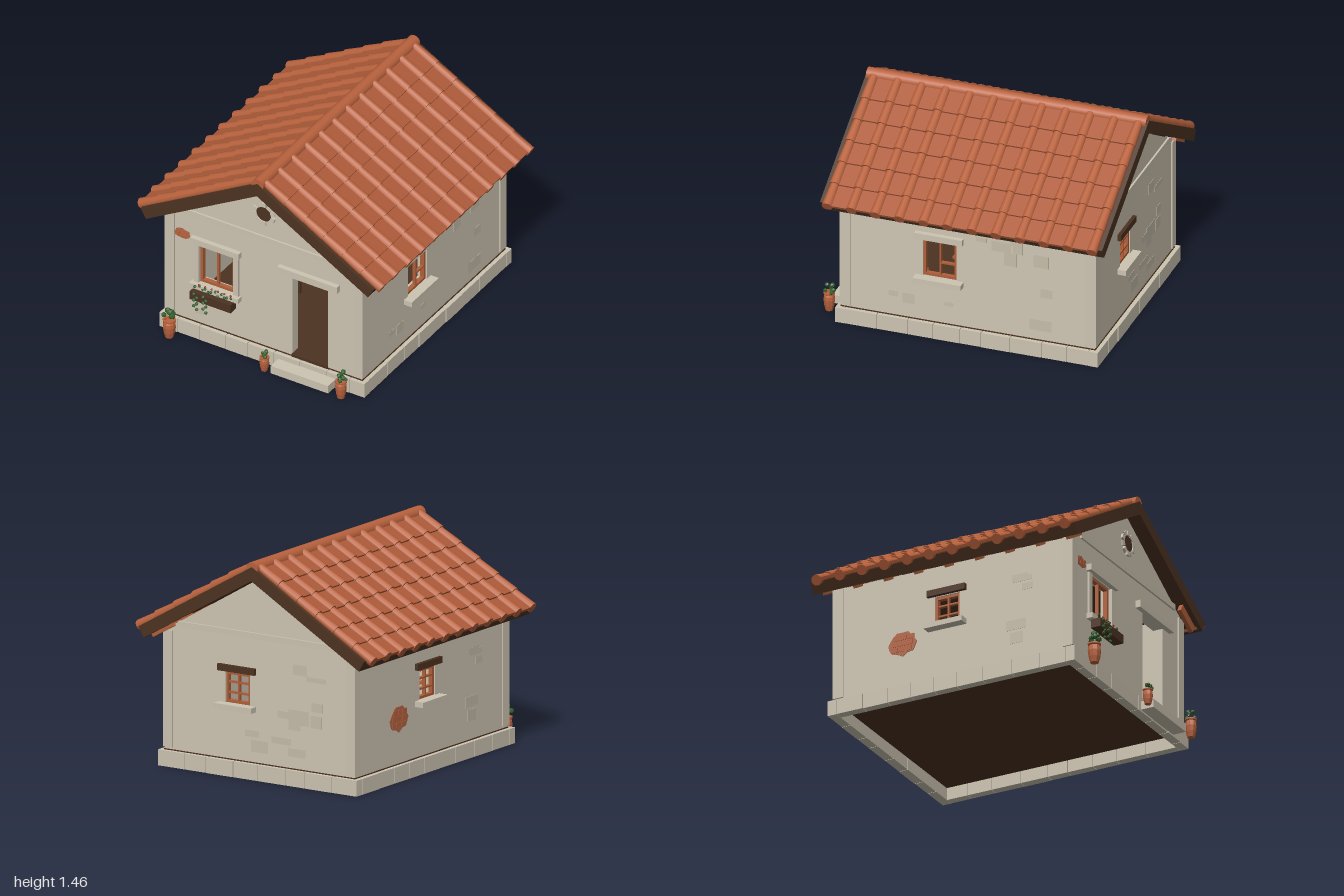
import * as THREE from 'three';

const mat = (name, color) => Object.assign(new THREE.MeshStandardMaterial({ color }), { name });
const M = {
  wall: mat('wall plaster', 0xcfc6b3), stone: mat('cut stone', 0xcdc5b2),
  shade: mat('weathered plaster', 0xc6bdaa), tile: mat('terracotta', 0xb9623d),
  pan: mat('flat roof tile', 0xae5c3a), dark: mat('dark timber', 0x4d3322),
  frame: mat('window wood', 0xb0603a), brick: mat('bare brick', 0xb0684a),
  leaf: mat('leaf', 0x35602f), bloom: mat('blossom', 0xa8322a),
};
let seed = 7;
const rnd = () => (seed = (seed * 16807) % 2147483647) / 2147483647;

function add(parent, name, geo, m, x = 0, y = 0, z = 0) {
  const mesh = new THREE.Mesh(geo, m);
  mesh.name = name;
  mesh.position.set(x, y, z);
  parent.add(mesh);
  return mesh;
}
// box given by its lower and upper bounds
const span = (p, name, m, x0, x1, y0, y1, z0, z1) =>
  add(p, name, new THREE.BoxGeometry(x1 - x0, y1 - y0, z1 - z0), m, (x0 + x1) / 2, (y0 + y1) / 2, (z0 + z1) / 2);
function group(parent, name, x = 0, y = 0, z = 0, ry = 0) {
  const g = new THREE.Group();
  g.name = name;
  g.position.set(x, y, z);
  g.rotation.y = ry;
  parent.add(g);
  return g;
}
const shapeOf = pts => new THREE.Shape(pts.map(p => new THREE.Vector2(p[0], p[1])));
const extrude = (shape, depth) => new THREE.ExtrudeGeometry(shape, { depth, bevelEnabled: false });
function hole(shape, x0, x1, y0, y1) {
  shape.holes.push(new THREE.Path([[x0, y0], [x0, y1], [x1, y1], [x1, y0]].map(p => new THREE.Vector2(...p))));
  return shape;
}

const SLOPE = Math.PI / 6, RIDGE = 1.385, ROOF_Z = -0.0325;

// inverted V across the ridge, from slope height lo to hi
function chevron(lo, hi, len) {
  const c = Math.cos(SLOPE), s = Math.sin(SLOPE);
  const pt = (h, side) => [side * (len * c + h * s), RIDGE - len * s + h * c];
  return shapeOf([[0, RIDGE + lo / c], pt(lo, 1), pt(hi, 1), [0, RIDGE + hi / c], pt(hi, -1), pt(lo, -1)]);
}

// window facing +z, origin at the centre of the opening on the wall face
function windowUnit(parent, name, x, y, z, ry, w, h, o) {
  const g = group(parent, name, x, y, z, ry), t = 0.018, a = w / 2, b = h / 2;
  for (const s of [-1, 1]) {
    span(g, 'frameSide', M.frame, s * (a - t / 2) - t / 2, s * (a - t / 2) + t / 2, -b, b, -0.04, -0.01);
    span(g, 'frameRail', M.frame, -a, a, s * (b - t / 2) - t / 2, s * (b - t / 2) + t / 2, -0.04, -0.01);
    if (o.jamb) span(g, 'jamb', M.stone, s * (a + 0.02) - 0.02, s * (a + 0.02) + 0.02, -b, b, -0.02, 0.015);
  }
  span(g, 'mullion', M.frame, -0.006, 0.006, -b, b, -0.035, -0.012);
  for (const k of o.bars) span(g, 'glazingBar', M.frame, o.barFrom ?? -a, a, k - 0.006, k + 0.006, -0.035, -0.012);
  span(g, 'lintel', o.lintel, -a - o.ext, a + o.ext, b + 0.005, b + 0.048, -0.02, o.lintelOut);
  span(g, 'sill', M.stone, -a - o.ext, a + o.ext, -b - 0.036, -b, -0.03, o.sillOut);
}

function plant(parent, x, y, z, r) {
  for (let i = 0; i < 9; i++) {
    const leaf = add(parent, 'leaves', new THREE.IcosahedronGeometry(r * (0.38 + rnd() * 0.2), 0), M.leaf,
      x + (rnd() - 0.5) * r * 1.5, y + rnd() * r * 1.7, z + (rnd() - 0.5) * r * 1.5);
    leaf.rotation.set(rnd() * 3, rnd() * 3, 0);
  }
}
function jar(parent, name, x, y, z, r, h) {
  const prof = [[0, 0], [0.62, 0], [0.85, 0.3], [0.97, 0.6], [0.9, 0.8], [0.78, 0.88], [0.98, 0.92], [0.98, 1], [0.7, 1], [0.6, 0.88], [0, 0.88]];
  const geo = new THREE.LatheGeometry(prof.map(p => new THREE.Vector2(p[0] * r, p[1] * h)), 10).toNonIndexed();
  geo.computeVertexNormals();
  add(parent, name, geo, M.tile, x, y, z);
}

// blunt irregular patch of exposed brick in the local xy plane
function brickPatch(parent, x, y, z, ry, rx, ryy) {
  const pts = [];
  for (let i = 0; i < 16; i++) {
    const a = i / 16 * Math.PI * 2, k = 0.8 + rnd() * 0.25;
    pts.push([Math.cos(a) * rx * k, Math.sin(a) * ryy * k]);
  }
  const g = group(parent, 'brickPatch', x, y, z, ry);
  add(g, 'bareBrick', extrude(shapeOf(pts), 0.005), M.brick);
  for (let r = -1; r <= 1; r++) for (let c = -1; c <= 1; c++)
    add(g, 'brick', new THREE.BoxGeometry(rx * 0.42, ryy * 0.36, 0.008), M.tile, c * rx * 0.48 + r * 0.008, r * ryy * 0.45, 0.004);
}

function buildWalls(house) {
  const g = group(house, 'walls');
  // front with doorway notch and window, back with window
  const front = hole(shapeOf([[-0.74, 0.1], [0.21, 0.1], [0.21, 0.74], [0.48, 0.74], [0.48, 0.1], [0.74, 0.1], [0.74, 0.9], [0, 1.335], [-0.74, 0.9]]), -0.49, -0.23, 0.43, 0.73);
  add(g, 'frontWall', extrude(front, 0.07), M.wall, 0, 0, 0.77);
  const back = hole(shapeOf([[-0.74, 0.1], [0.74, 0.1], [0.74, 0.9], [0, 1.335], [-0.74, 0.9]]), 0.08, 0.27, 0.48, 0.685);
  add(g, 'backWall', extrude(back, 0.07), M.wall, 0, 0, -0.9);
  const sides = [[0.74, 0.05, 0.28, 0.435, 0.705], [-0.67, -0.165, 0.015, 0.485, 0.685]];
  for (const [x, ...h] of sides) {
    const s = hole(shapeOf([[-0.9, 0.1], [0.84, 0.1], [0.84, 0.9], [-0.9, 0.9]]), ...h);
    add(g, 'sideWall', extrude(s, 0.07), M.wall, x).rotation.y = -Math.PI / 2;
  }
  // corner piers and gable bands
  for (const s of [-1, 1]) for (const [z0, z1] of [[0.775, 0.85], [-0.91, -0.835]])
    span(g, 'cornerPier', M.stone, s * 0.715 - 0.035, s * 0.715 + 0.035, 0.125, 0.9, z0, z1);
  span(g, 'gableBand', M.stone, -0.63, 0.63, 0.93, 0.97, 0.83, 0.853);
  span(g, 'gableBand', M.stone, -0.63, 0.63, 0.93, 0.97, -0.913, -0.89);

  // faint weathered plaster plates, kept clear of the openings
  const faces = [[0.84, 0, 0, [-0.6, 0.64, 0.36, 0.84]], [0.9, Math.PI, 0, [-0.36, 0.02, 0.4, 0.78]],
    [0.74, Math.PI / 2, 0, [-0.36, 0.03, 0.36, 0.8]], [0.74, -Math.PI / 2, 0, [-0.6, 0.2, 0.3, 0.78]]];
  for (const [d, ry, , b] of faces) {
    const f = group(g, 'plasterWear', 0, 0, 0, ry);
    for (let i = 0; i < 16; i++) {
      const w = 0.06 + rnd() * 0.1, h = 0.03 + rnd() * 0.07, x = (rnd() - 0.5) * 1.15, y = 0.2 + rnd() * 0.6;
      if (x + w > b[0] && x - w < b[1] && y + h > b[2] && y - h < b[3]) continue;
      add(f, 'wornPlaster', new THREE.BoxGeometry(w, h, 0.004), M.shade, x, y, d);
    }
  }
  brickPatch(g, -0.62, 0.765, 0.84, 0, 0.065, 0.038);
  brickPatch(g, -0.74, 0.41, -0.4, -Math.PI / 2, 0.11, 0.09);

  // round vent with a ring of stones
  const vent = group(g, 'gableVent', 0, 1.145, 0.84);
  add(vent, 'ventDisc', new THREE.CylinderGeometry(0.055, 0.055, 0.008, 24), M.dark, 0, 0, 0.004).rotation.x = Math.PI / 2;
  for (let i = 0; i < 10; i++) {
    const a = i / 10 * Math.PI * 2 + 0.3;
    add(vent, 'ventStone', new THREE.BoxGeometry(0.03, 0.034, 0.03), M.stone, Math.cos(a) * 0.07, Math.sin(a) * 0.07, 0).rotation.z = a;
  }
}

function buildBase(house) {
  const g = group(house, 'base');
  span(g, 'floor', M.dark, -0.745, 0.745, 0.085, 0.112, -0.905, 0.845);
  // rows of plinth stones of uneven length
  const row = (from, to, put) => {
    for (let a = from; a < to - 0.01;) {
      let b = a + 0.14 + rnd() * 0.08;
      if (to - b < 0.1) b = to;
      put(a + 0.002, b - 0.002, rnd() * 0.006);
      a = b;
    }
  };
  row(-0.777, 0.777, (a, b, j) => span(g, 'plinthStone', M.stone, a, b, 0, 0.105, 0.81, 0.87 + j));
  row(-0.777, 0.777, (a, b, j) => span(g, 'plinthStone', M.stone, a, b, 0, 0.105, -0.93 - j, -0.87));
  row(-0.87, 0.81, (a, b, j) => span(g, 'plinthStone', M.stone, 0.715, 0.771 + j, 0, 0.105, a, b));
  row(-0.87, 0.81, (a, b, j) => span(g, 'plinthStone', M.stone, -0.771 - j, -0.715, 0, 0.105, a, b));
  span(g, 'doorStep', M.stone, 0.125, 0.56, 0.012, 0.07, 0.86, 0.967);
  span(g, 'threshold', M.dark, 0.21, 0.48, 0.1, 0.125, 0.76, 0.85);
}

function buildRoof(house) {
  const roof = group(house, 'roof', 0, 0, ROOF_Z);
  add(roof, 'roofDeck', extrude(chevron(-0.005, 0.032, 0.985), 1.9), M.dark, 0, 0, -0.95);
  for (const z of [-0.9675, 0.9425]) add(roof, 'bargeBoard', extrude(chevron(-0.043, 0.037, 0.995), 0.025), M.dark, 0, 0, z);
  const cap = add(roof, 'ridgeCap', new THREE.CylinderGeometry(0.045, 0.045, 1.92, 14), M.tile, 0, 1.415, 0);
  cap.rotation.x = Math.PI / 2;

  const step = 0.167, pitch = 0.165;
  const panGeo = new THREE.BoxGeometry(step + 0.03, 0.018, pitch - 0.004);
  const rollGeo = new THREE.CylinderGeometry(0.029, 0.036, step + 0.02, 12);
  for (const turn of [0, Math.PI]) {
    const half = group(group(roof, 'roofSide', 0, RIDGE, 0, turn), 'slope');
    half.rotation.z = -SLOPE;
    span(half, 'eaveFascia', M.dark, 0.975, 0.995, -0.043, 0.035, -0.945, 0.945);
    for (let c = 0; c < 6; c++) {
      const x = 0.02 + (c + 0.5) * step;
      for (let i = 0; i < 11; i++) {
        const pan = add(half, 'panTile', panGeo, M.pan, x - 0.012 + (rnd() - 0.5) * 0.008, 0.044, (i - 5) * pitch);
        pan.rotation.z = 0.07;
      }
      for (let i = 0; i < 12; i++) {
        const roll = add(half, 'rollTile', rollGeo, M.tile, x - 0.004 + (rnd() - 0.5) * 0.006, 0.045, (i - 5.5) * pitch);
        roll.rotation.z = Math.PI / 2 + 0.02;
      }
    }
    // rafter tails under the eaves
    for (let i = 0; i < 9; i++) span(half, 'rafterTail', M.frame, 0.79, 0.975, -0.062, -0.005, -0.9 + i * 0.223, -0.872 + i * 0.223);
  }
}

function buildDetails(house) {
  const q = Math.PI / 2;
  windowUnit(house, 'frontWindow', -0.36, 0.58, 0.84, 0, 0.26, 0.3, { jamb: true, bars: [], lintel: M.stone, ext: 0.055, lintelOut: 0.035, sillOut: 0.045 });
  windowUnit(house, 'leftWindow', 0.74, 0.57, 0.165, q, 0.23, 0.27, { bars: [-0.03], barFrom: 0, lintel: M.stone, ext: 0.05, lintelOut: 0.035, sillOut: 0.06 });
  windowUnit(house, 'backWindow', 0.175, 0.5825, -0.9, 2 * q, 0.19, 0.205, { bars: [-0.035, 0.035], lintel: M.dark, ext: 0.05, lintelOut: 0.025, sillOut: 0.06 });
  windowUnit(house, 'rightWindow', -0.74, 0.585, -0.075, -q, 0.18, 0.2, { bars: [-0.035, 0.035], lintel: M.dark, ext: 0.05, lintelOut: 0.025, sillOut: 0.065 });
  span(house, 'doorLintel', M.stone, 0.115, 0.57, 0.74, 0.79, 0.8, 0.875);

  // planter with flowers and trailing vines
  const box = group(house, 'planter');
  span(box, 'planterBox', M.dark, -0.515, -0.205, 0.335, 0.396, 0.855, 0.925);
  for (let i = 0; i < 12; i++) {
    const x = -0.49 + i * 0.024;
    add(box, 'herb', new THREE.IcosahedronGeometry(0.011, 0), M.leaf, x, 0.405 + rnd() * 0.025, 0.88 + rnd() * 0.03);
    if (i % 2) add(box, 'blossom', new THREE.IcosahedronGeometry(0.008, 0), M.bloom, x, 0.442, 0.89);
  }
  for (const x of [-0.47, -0.4]) for (let i = 0; i < 6; i++)
    add(box, 'vineLeaf', new THREE.IcosahedronGeometry(0.012, 0), M.leaf, x + (i % 2 - 0.5) * 0.022, 0.39 - i * 0.023, 0.93);

  // potted plants at the front
  for (const [x, r, h, p] of [[-0.65, 0.045, 0.135, 0.04], [0.07, 0.034, 0.105, 0.026], [0.65, 0.04, 0.13, 0.035]]) {
    const pot = group(house, 'pottedPlant');
    jar(pot, 'pot', x, 0.01, 0.955, r, h);
    plant(pot, x, h + 0.01, 0.955, p);
  }

  // furnishings inside
  const room = group(house, 'furnishings');
  span(room, 'tableTop', M.frame, -0.15, 0.265, 0.318, 0.335, -0.1, 0.25);
  for (const x of [-0.12, 0.24]) for (const z of [-0.07, 0.22]) span(room, 'tableLeg', M.dark, x - 0.009, x + 0.009, 0.11, 0.32, z - 0.009, z + 0.009);
  jar(room, 'storageJar', 0.5, 0.112, 0.4, 0.07, 0.22);
  span(room, 'shelf', M.frame, -0.67, -0.58, 0.53, 0.545, 0.04, 0.3);
  jar(room, 'shelfJar', -0.62, 0.545, 0.09, 0.028, 0.055);
}

export function createModel() {
  const house = new THREE.Group();
  house.name = 'cottage';
  buildBase(house);
  buildWalls(house);
  buildRoof(house);
  buildDetails(house);
  return house;
}
